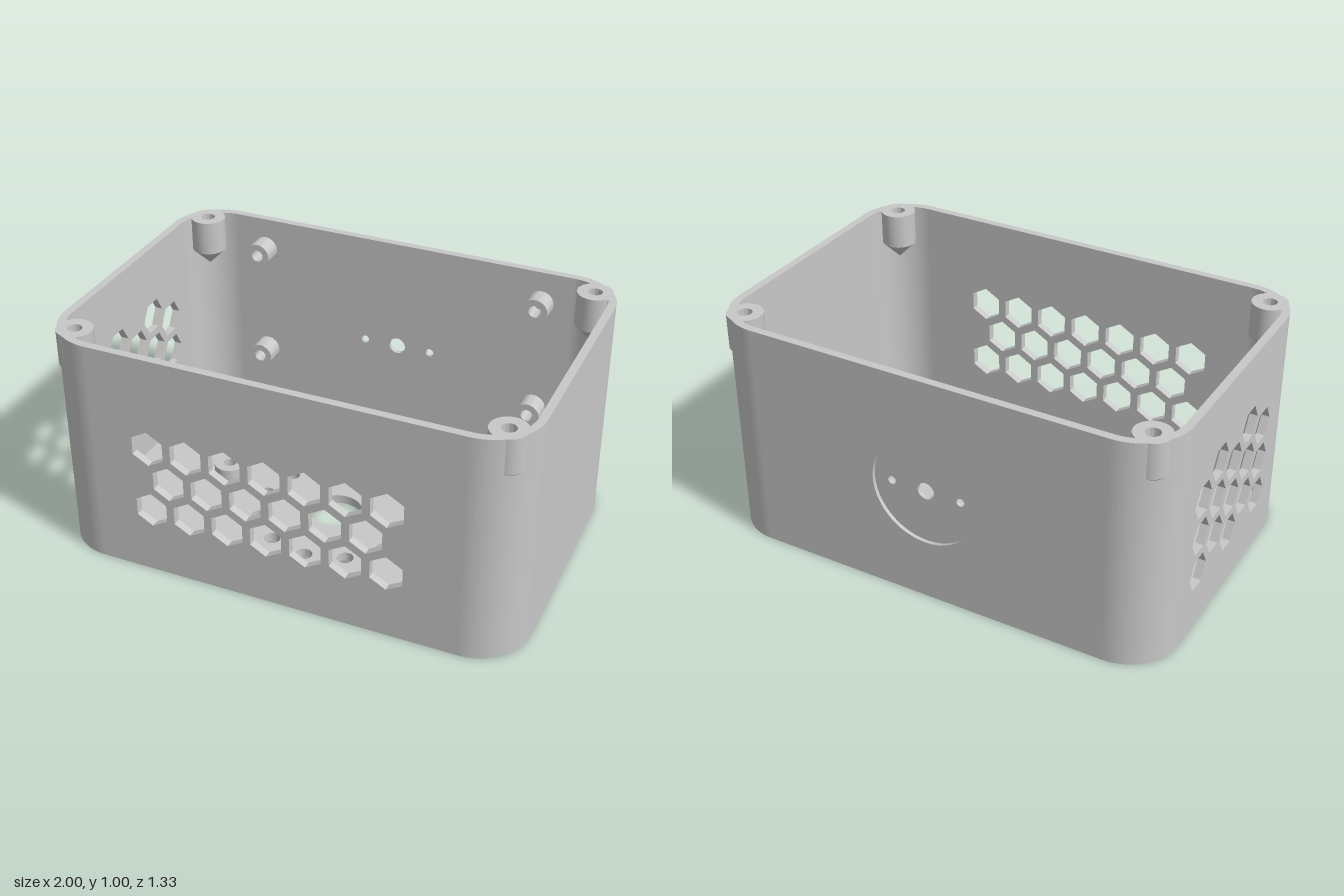
import * as THREE from 'three';
import { toCreasedNormals } from 'three/addons/utils/BufferGeometryUtils.js';

const X = 1, Z = 0.667, R = 0.22, WALL = 0.034, H = 1;
const CX = X - R, CZ = Z - R;          // centres of the corner curves
const FLOOR = 0.04, RECESS = 0.016, VENT_Z = 0.044;
const BOSS_X = 0.89, BOSS_Z = 0.555, HEX = 0.078;

const circle = (x, y, r) => new THREE.Path().absarc(x, y, r, 0, Math.PI * 2, true);

function hexagon(x, y, turn) {
  const pts = [];
  for (let k = 0; k < 6; k++) {
    const a = turn + k * Math.PI / 3;
    pts.push(new THREE.Vector2(x + HEX * Math.cos(a), y + HEX * Math.sin(a)));
  }
  return new THREE.Path(pts);
}

function panel(halfWidth, holes = []) {
  const s = new THREE.Shape();
  s.moveTo(-halfWidth, 0).lineTo(halfWidth, 0).lineTo(halfWidth, H).lineTo(-halfWidth, H).closePath();
  s.holes.push(...holes);
  return s;
}

const extrude = (shape, depth) => toCreasedNormals(
  new THREE.ExtrudeGeometry(shape, { depth, bevelEnabled: false, curveSegments: 24 }), 0.5);

const lathe = (pts) => toCreasedNormals(
  new THREE.LatheGeometry(pts.map(([x, y]) => new THREE.Vector2(x, y)), 36), 0.5);

// Rounded floor outline, shape y is world z
function floorShape(holes) {
  const r = R - WALL, s = new THREE.Shape();
  s.absarc(CX, CZ, r, 0, Math.PI / 2, false);
  s.absarc(-CX, CZ, r, Math.PI / 2, Math.PI, false);
  s.absarc(-CX, -CZ, r, Math.PI, Math.PI * 1.5, false);
  s.absarc(CX, -CZ, r, Math.PI * 1.5, Math.PI * 2, false);
  s.closePath();
  s.holes.push(...holes);
  return s;
}

// Disc inside the floor groove
function discShape(radius, holes) {
  const s = new THREE.Shape().absarc(0, VENT_Z, radius, 0, Math.PI * 2, false);
  s.holes.push(...holes);
  return s;
}

// Curved corner wall for the corner with signs sx, sz
function cornerShape(sx, sz) {
  const mid = Math.atan2(sz, sx), q = Math.PI / 4;
  const s = new THREE.Shape();
  s.absarc(sx * CX, sz * CZ, R, mid - q, mid + q, false);
  s.absarc(sx * CX, sz * CZ, R - WALL, mid + q, mid - q, true);
  s.closePath();
  return s;
}

export function createModel() {
  const group = new THREE.Group();
  group.name = 'enclosure';
  const grey = new THREE.MeshStandardMaterial({ color: 0xc8c8c8 });
  grey.name = 'grey plastic';

  function add(name, geometry, x = 0, y = 0, z = 0) {
    const mesh = new THREE.Mesh(geometry, grey);
    mesh.name = name;
    mesh.position.set(x, y, z);
    group.add(mesh);
  }
  // Horizontal slab whose top is at the given height
  const slab = (name, shape, depth, top) =>
    add(name, extrude(shape, depth).rotateX(Math.PI / 2), 0, top, 0);

  // Front wall with three staggered rows of hexagons
  const frontHoles = [];
  for (let row = 0; row < 3; row++) {
    const odd = row % 2;
    for (let i = 0; i < 7 - odd; i++) {
      frontHoles.push(hexagon(-0.534 + 0.169 * (i + odd / 2), 0.594 - 0.1465 * row, Math.PI / 6));
    }
  }
  add('frontWall', extrude(panel(CX, frontHoles), WALL), 0, 0, Z - WALL);

  // Right wall with five staggered columns of hexagons
  const sideHoles = [];
  for (let col = 0; col < 5; col++) {
    for (let i = 0; i < 3; i++) {
      sideHoles.push(hexagon(-0.3 + 0.1465 * col, 0.256 + 0.169 * (i + (col % 2) / 2), 0));
    }
  }
  add('rightWall', extrude(panel(CZ, sideHoles), WALL).rotateY(-Math.PI / 2), -X + WALL);
  add('leftWall', extrude(panel(CZ), WALL).rotateY(-Math.PI / 2), X);

  // Back wall: round recess outside, three holes through
  add('backWallOuter', extrude(panel(CX, [circle(0, 0.5, 0.235)]), RECESS), 0, 0, -Z);
  add('backWallInner', extrude(panel(CX, [
    circle(0, 0.5, 0.037), circle(-0.155, 0.5, 0.018), circle(0.155, 0.5, 0.018),
  ]), WALL - RECESS), 0, 0, -Z + RECESS);

  // Floor: round groove below, centre hole and ring of small vents
  const vents = [circle(0, VENT_Z, 0.112)];
  for (let k = 0; k < 12; k++) {
    const a = k * Math.PI / 6;
    vents.push(circle(0.333 * Math.cos(a), VENT_Z + 0.333 * Math.sin(a), 0.035));
  }
  slab('floorUpper', floorShape(vents), FLOOR - RECESS, FLOOR);
  slab('floorLower', floorShape([circle(0, VENT_Z, 0.513)]), RECESS, RECESS);
  slab('floorDisc', discShape(0.488, vents), RECESS, RECESS);

  // Corners with screw bosses
  const boss = lathe([[0, 0.775], [0.075, 0.85], [0.075, H], [0.03, H], [0.03, 0.87], [0, 0.87]]);
  for (const sx of [-1, 1]) {
    for (const sz of [-1, 1]) {
      slab('cornerWall', cornerShape(sx, sz), H, H);
      add('screwBoss', boss, sx * BOSS_X, 0, sz * BOSS_Z);
    }
  }

  // Floor standoffs and back wall pegs
  const standoff = lathe([[0.067, 0.03], [0.067, 0.15], [0.027, 0.15], [0.027, 0.05], [0, 0.05]]);
  const peg = lathe([[0.055, -0.01], [0.055, 0.088], [0.027, 0.088], [0.027, 0.01], [0, 0.01]])
    .rotateX(Math.PI / 2);
  for (const s of [-1, 1]) {
    add('floorStandoff', standoff, s * 0.51, 0, VENT_Z);
    for (const y of [0.346, 0.858]) add('wallPeg', peg, s * 0.645, y, -Z + WALL);
  }
  return group;
}
